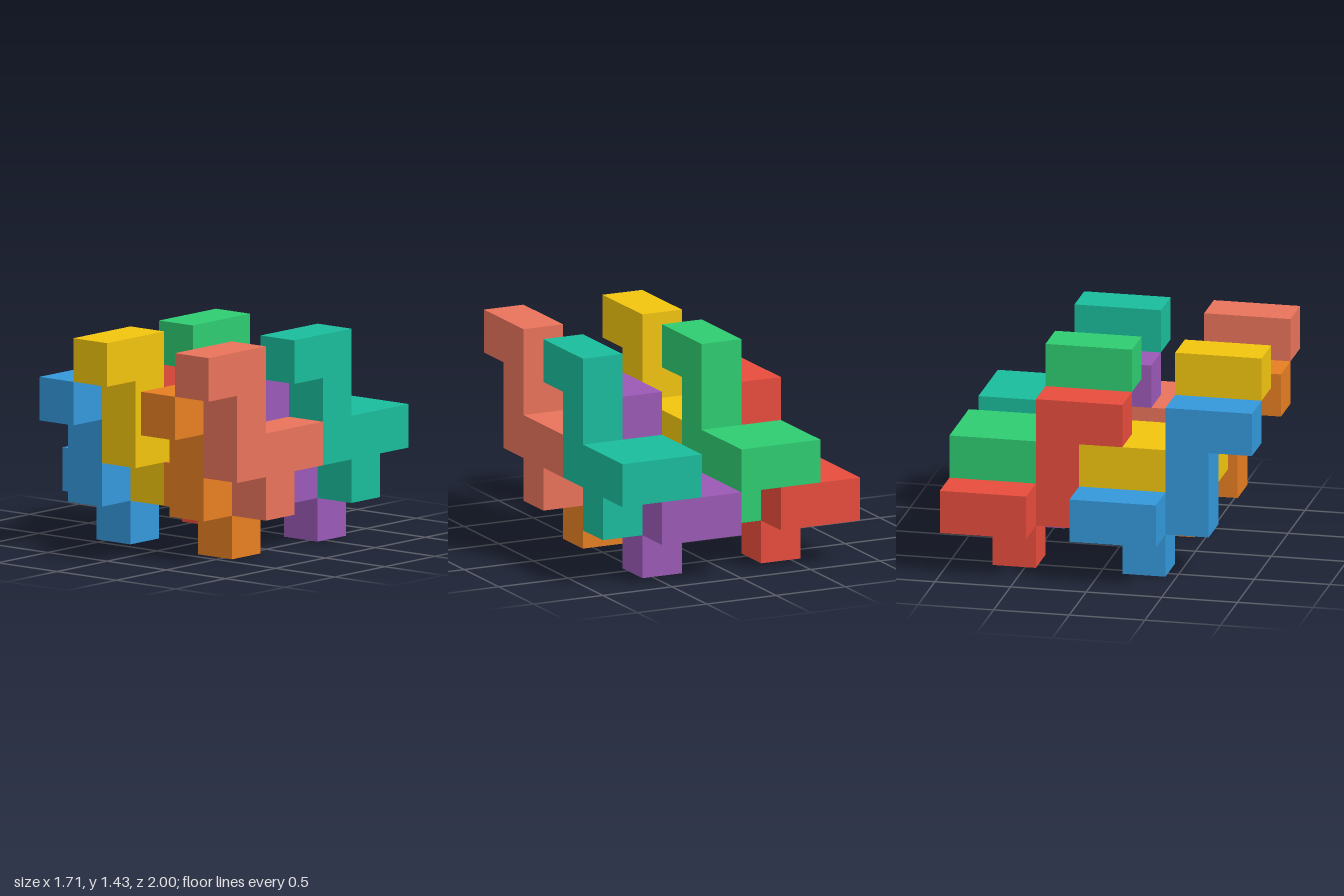
import * as THREE from 'three';
import { mergeGeometries } from 'three/addons/utils/BufferGeometryUtils.js';

const U = 2 / 7; // edge of one cube cell

// One puzzle piece as grid cells [x, y, z]: a branching upright slab plus a two-cell side arm
const CELLS = [
  [1, 3, 3], [1, 3, 2], [1, 2, 2],            // hooked post
  [1, 1, 2], [1, 1, 1], [1, 1, 0], [1, 0, 1], // bar and foot
  [0, 1, 0], [0, 1, 1],                       // side arm
];

// Turns of a +z facing plane towards each cube direction
const FACES = [
  { dir: [0, 0, 1], turn: [0, 0] },
  { dir: [0, 0, -1], turn: [0, Math.PI] },
  { dir: [1, 0, 0], turn: [0, Math.PI / 2] },
  { dir: [-1, 0, 0], turn: [0, -Math.PI / 2] },
  { dir: [0, 1, 0], turn: [-Math.PI / 2, 0] },
  { dir: [0, -1, 0], turn: [Math.PI / 2, 0] },
];

// Closed skin of the piece: only the cell faces without a neighbour
function pieceGeometry() {
  const filled = new Set(CELLS.map(String));
  const faces = [];
  for (const cell of CELLS) {
    for (const { dir, turn } of FACES) {
      if (filled.has(String(cell.map((c, i) => c + dir[i])))) continue;
      const [x, y, z] = cell.map((c, i) => (c + 0.5 + dir[i] / 2) * U);
      faces.push(new THREE.PlaneGeometry(U, U).rotateX(turn[0]).rotateY(turn[1]).translate(x, y, z));
    }
  }
  return mergeGeometries(faces);
}

// Lower and upper piece colours of each interlocking pair, with its grid offset
const PAIRS = [
  { name: 'backRight', x: 0, z: 0, lower: 0xe74c3c, upper: 0x2ecc71 },
  { name: 'backLeft', x: 3, z: 0, lower: 0x9b59b6, upper: 0x1abc9c },
  { name: 'frontRight', x: 0, z: 3, lower: 0x3498db, upper: 0xf1c40f },
  { name: 'frontLeft', x: 3, z: 3, lower: 0xe67e22, upper: 0xe8735a },
];

export function createModel() {
  const model = new THREE.Group();
  model.name = 'interlockingBlocks';
  const geometry = pieceGeometry();

  for (const { name, x, z, lower, upper } of PAIRS) {
    const pair = new THREE.Group();
    pair.name = `${name}Pair`;
    pair.position.set((x - 3) * U, 0, (z - 3.5) * U);
    // The upper piece repeats the lower one a cell to the side and a cell up
    [lower, upper].forEach((color, step) => {
      const piece = new THREE.Mesh(geometry, new THREE.MeshStandardMaterial({ color }));
      piece.name = `${name}${step ? 'Upper' : 'Lower'}Piece`;
      piece.position.set(step * U, step * U, 0);
      pair.add(piece);
    });
    model.add(pair);
  }
  return model;
}
